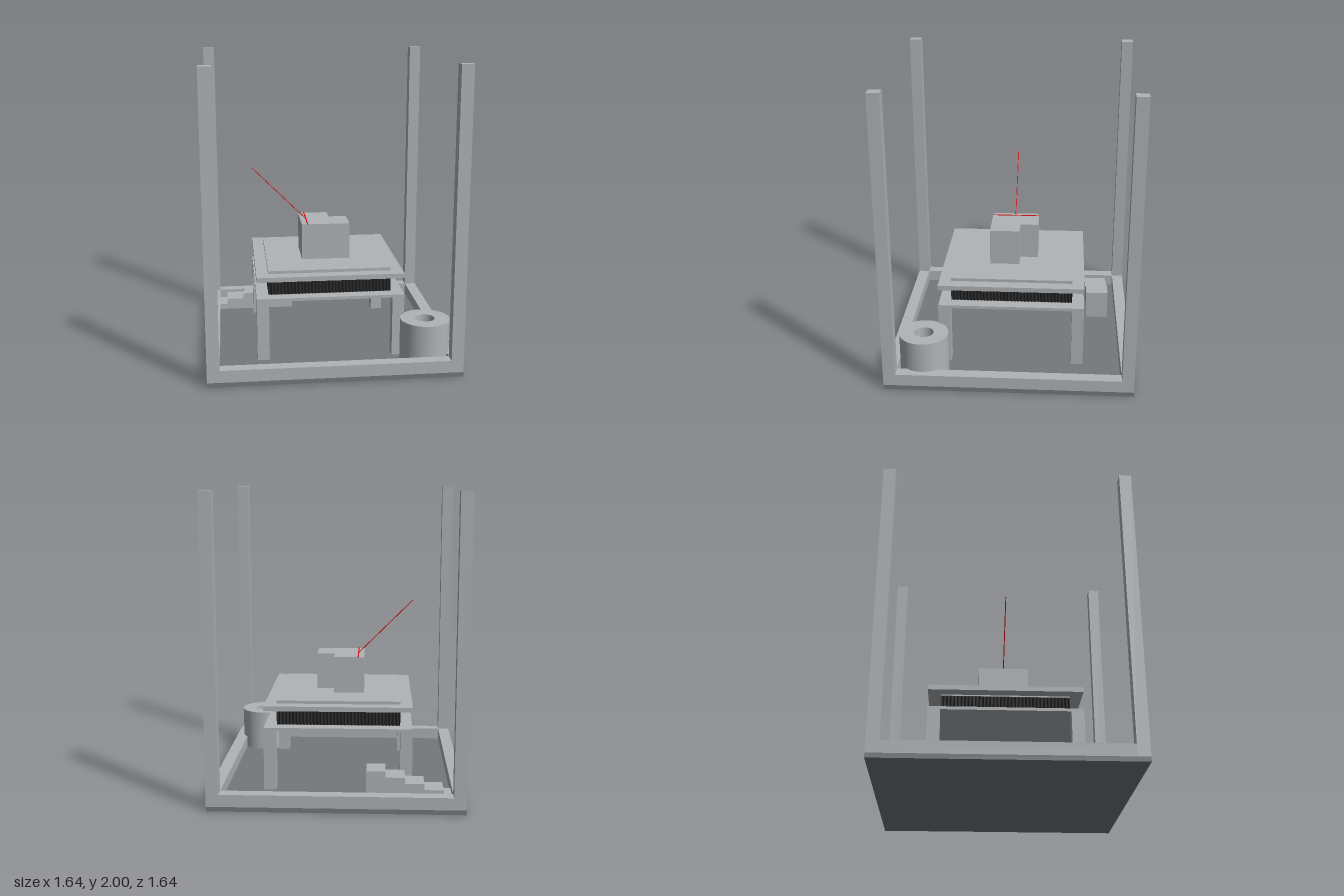
import * as THREE from 'three';

const mat = (name, color) => new THREE.MeshStandardMaterial({ name, color });

export function createModel() {
  const root = new THREE.Group();
  root.name = 'machineFrame';
  const steel = mat('light grey', 0xb0b4b7);
  const slate = mat('dark grey', 0x75787b);
  const black = mat('black', 0x2a2a2b);
  const red = mat('red', 0xd81010);

  const add = (name, geometry, material, parent = root) => {
    const mesh = new THREE.Mesh(geometry, material);
    mesh.name = name;
    parent.add(mesh);
    return mesh;
  };
  // Box given by its lower and upper limits
  const box = (name, material, [x0, y0, z0], [x1, y1, z1], parent) => {
    const m = add(name, new THREE.BoxGeometry(x1 - x0, y1 - y0, z1 - z0), material, parent);
    m.position.set((x0 + x1) / 2, (y0 + y1) / 2, (z0 + z1) / 2);
    return m;
  };
  // Plan outline of [x, z] points raised from y0 to y1
  const prism = (name, material, points, y0, y1) => {
    const shape = new THREE.Shape(points.map(([x, z]) => new THREE.Vector2(x, -z)));
    const g = new THREE.ExtrudeGeometry(shape, { depth: y1 - y0, bevelEnabled: false });
    g.rotateX(-Math.PI / 2).translate(0, y0, 0);
    return add(name, g, material);
  };

  // Base plate, rails and corner posts
  const R = 0.82, I = 0.74, F = 0.03;
  box('basePlate', slate, [-R, 0, -R], [R, F, R]);
  for (const s of [-1, 1]) {
    const a = s > 0 ? I : -R, b = s > 0 ? R : -I;
    box('railX', steel, [-I, F, a], [I, 0.11, b]);
    box('railZ', steel, [a, F, -I], [b, 0.11, I]);
    for (const t of [-1, 1]) {
      const c = t > 0 ? I : -R;
      box('cornerPost', steel, [a, F, c], [b, 2, c + 0.08]);
    }
  }

  // Table: four legs and a thin top
  const table = new THREE.Group();
  table.name = 'table';
  root.add(table);
  for (const x of [-0.49, 0.41])
    for (const z of [-0.49, 0.41])
      box('tableLeg', steel, [x, F, z], [x + 0.08, 0.435, z + 0.08], table);
  box('tableTop', steel, [-0.49, 0.435, -0.49], [0.49, 0.455, 0.49], table);

  // Corrugated black block
  const H = 0.41, N = 36, outline = [];
  for (let side = 0; side < 4; side++) {
    const c = Math.round(Math.cos(side * Math.PI / 2)), s = Math.round(Math.sin(side * Math.PI / 2));
    for (let i = 0; i < N * 2; i++) {
      const u = -H + (i / (N * 2)) * 2 * H, v = i % 2 ? H - 0.01 : H;
      outline.push([u * c + v * s, -u * s + v * c]);
    }
  }
  prism('corrugatedBlock', black, outline, 0.455, 0.56);

  // Platform and raised pad
  box('padCore', steel, [-H, 0.56, -H], [H, 0.62, H]);
  box('platform', steel, [-0.49, 0.568, -0.49], [0.49, 0.6, 0.49]);

  // Notched workpiece
  prism('workpiece', steel, [
    [-0.165, 0.163], [0.163, 0.163], [0.163, -0.04], [0.04, -0.04], [0.04, -0.165], [-0.165, -0.165],
  ], 0.62, 0.867);

  // Red scan line and slanted beam
  box('scanLine', red, [-0.129, 0.866, -0.165], [-0.121, 0.87, 0.163]);
  const from = new THREE.Vector3(-0.125, 0.867, 0), to = new THREE.Vector3(-0.495, 1.237, 0);
  const dir = to.clone().sub(from);
  const beam = add('beam', new THREE.CylinderGeometry(0.003, 0.003, dir.length(), 8), red);
  beam.position.copy(from).lerp(to, 0.5);
  beam.quaternion.setFromUnitVectors(new THREE.Vector3(0, 1, 0), dir.normalize());

  // Hollow drum in the front corner
  const ring = new THREE.Shape().absarc(0, 0, 0.163, 0, Math.PI * 2, false);
  ring.holes.push(new THREE.Path().absarc(0, 0, 0.065, 0, Math.PI * 2, true));
  const drum = add('drum', new THREE.ExtrudeGeometry(ring, { depth: 0.285, bevelEnabled: false, curveSegments: 32 }), steel);
  drum.rotation.x = -Math.PI / 2;
  drum.position.set(0.613, F, 0.573);

  // Staircase rising towards the middle
  const stairs = new THREE.Group();
  stairs.name = 'stairs';
  root.add(stairs);
  for (let i = 0; i < 5; i++) {
    const x = -0.81 + i * 0.124;
    box('step', steel, [x, F, -0.68], [x + 0.124, F + 0.04 * (i + 1), -0.52], stairs);
  }
  return root;
}
